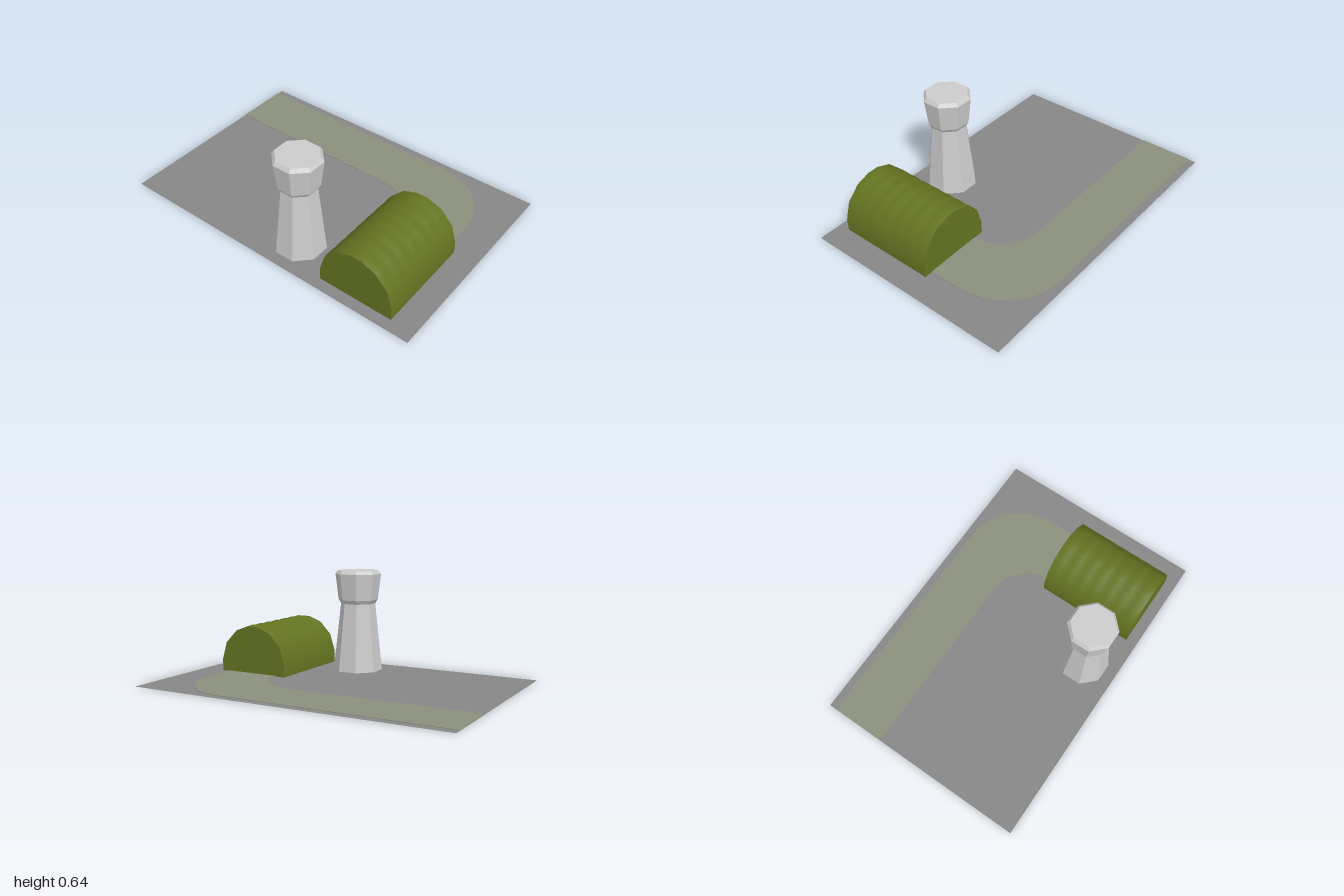
import * as THREE from 'three';

const mat = (color, extra = {}) => new THREE.MeshStandardMaterial({ color, ...extra });

function add(parent, name, geometry, material) {
  const mesh = new THREE.Mesh(geometry, material);
  mesh.name = name;
  parent.add(mesh);
  return mesh;
}

// Right half of the arched section, from the foot to the crown (centre-relative)
const HALF_ARCH = [[0.235, 0], [0.235, 0.08], [0.203, 0.19], [0.125, 0.272], [0.036, 0.305]];
const ARCH = [...HALF_ARCH, ...HALF_ARCH.slice().reverse().map(([x, y]) => [-x, y])];

// Arched roof skin swept along z, with shallow scallops between the ribs
function ribbedArch(z0, z1, ribs, depth) {
  const steps = 4, rows = ribs * steps, n = ARCH.length;
  const positions = [], index = [];
  for (let j = 0; j <= rows; j++) {
    const z = z0 + (z1 - z0) * j / rows;
    const dip = depth * (1 - Math.sin(Math.PI * (j % steps) / steps));
    for (const [x, y] of ARCH) positions.push(x, y * (1 - dip), z);
  }
  for (let j = 0; j < rows; j++) {
    for (let i = 0; i < n - 1; i++) {
      const a = j * n + i, b = a + 1, c = a + n, d = c + 1;
      index.push(a, b, c, b, d, c);
    }
  }
  const g = new THREE.BufferGeometry();
  g.setAttribute('position', new THREE.Float32BufferAttribute(positions, 3));
  g.setIndex(index);
  g.computeVertexNormals();
  return g;
}

export function createModel() {
  const model = new THREE.Group();
  model.name = 'airfield';

  // Ground
  const ground = new THREE.PlaneGeometry(2, 1.334).rotateX(-Math.PI / 2);
  add(model, 'ground', ground, mat(0x868686, { side: THREE.DoubleSide }));

  // Curved taxiway leading to the hangar (shape y becomes -z)
  const path = new THREE.Shape();
  path.moveTo(-1, 0.28);
  path.lineTo(0.17, 0.28);
  path.bezierCurveTo(0.33, 0.28, 0.445, 0.17, 0.445, 0.02);
  path.lineTo(0.445, -0.02);
  path.lineTo(0.8, -0.02);
  path.lineTo(0.8, 0.22);
  path.bezierCurveTo(0.8, 0.45, 0.64, 0.62, 0.42, 0.62);
  path.lineTo(-1, 0.62);
  const road = new THREE.ExtrudeGeometry(path, { depth: 0.003, bevelEnabled: false, curveSegments: 12 });
  road.rotateX(-Math.PI / 2).translate(0, 0.001, 0);
  add(model, 'taxiway', road, mat(0x8a8f7d));

  // Octagonal control tower; half-widths are measured across the flats
  const profile = [[0.145, 0], [0.102, 0.432], [0.117, 0.456], [0.136, 0.622], [0.12, 0.643], [0, 0.643]]
    .map(([w, y]) => new THREE.Vector2(w / Math.cos(Math.PI / 8), y));
  const tower = add(model, 'controlTower', new THREE.LatheGeometry(profile, 8, Math.PI / 8),
    mat(0xcccccc, { flatShading: true }));
  tower.position.set(0.118, 0, 0.449);

  // Arched hangar with ribbed roof and flat end walls
  const hangar = new THREE.Group();
  hangar.name = 'hangar';
  hangar.position.x = 0.615;
  model.add(hangar);
  const green = mat(0x647321);
  const back = -0.025, front = 0.597;
  add(hangar, 'hangarRoof', ribbedArch(back, front, 7, 0.02), green);
  const wall = new THREE.ShapeGeometry(new THREE.Shape(ARCH.map(([x, y]) => new THREE.Vector2(x, y * 0.98))));
  add(hangar, 'frontWall', wall, green).position.z = front;
  const backWall = add(hangar, 'backWall', wall, green);
  backWall.position.z = back;
  backWall.rotation.y = Math.PI;

  return model;
}
